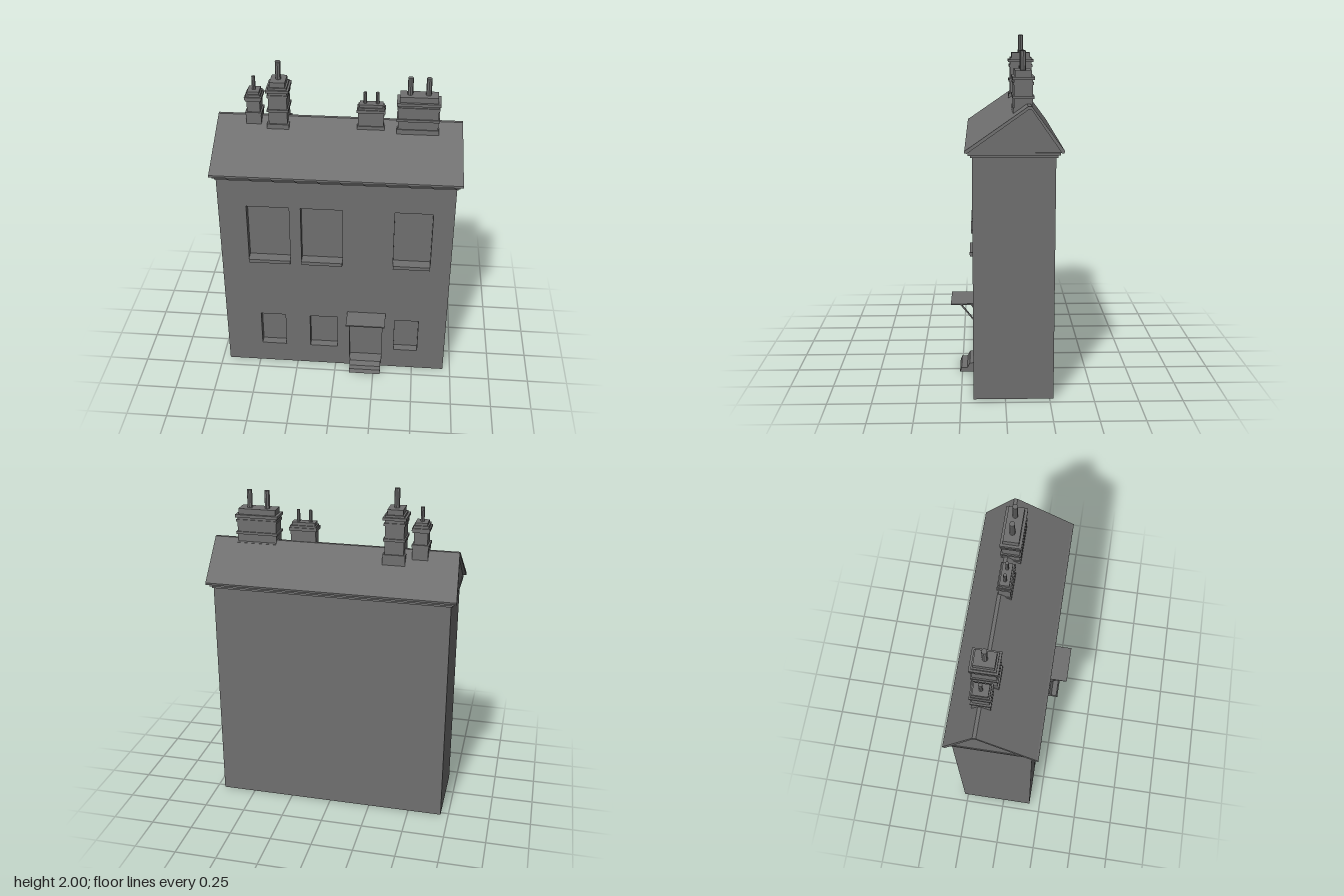
import * as THREE from 'three';

const grey = new THREE.MeshStandardMaterial({ color: 0x707070, flatShading: true });
const greySheet = new THREE.MeshStandardMaterial({ color: 0x707070, flatShading: true, side: THREE.DoubleSide });
const FRONT = 0.18, BACK = -0.272, HALF = 0.703, WALL_TOP = 1.4;

export function createModel() {
  const house = new THREE.Group();
  house.name = 'townHouse';

  const add = (name, geometry, material = grey, parent = house) => {
    const mesh = new THREE.Mesh(geometry, material);
    mesh.name = name;
    parent.add(mesh);
    return mesh;
  };
  // Box given by its limits on each axis
  const boxGeo = (x0, x1, y0, y1, z0, z1) =>
    new THREE.BoxGeometry(x1 - x0, y1 - y0, z1 - z0)
      .translate((x0 + x1) / 2, (y0 + y1) / 2, (z0 + z1) / 2);
  // Keep only some box sides: 0 +x, 1 -x, 2 +y, 3 -y, 4 +z, 5 -z
  const keepSides = (geometry, sides) => {
    const index = Array.from(geometry.index.array);
    geometry.setIndex(sides.flatMap(s => index.slice(s * 6, s * 6 + 6)));
    geometry.clearGroups();
    return geometry;
  };
  // Profile of [z, y] points swept along x
  const sweepX = (points, x0, x1) => {
    const shape = new THREE.Shape(points.map(([z, y]) => new THREE.Vector2(-z, y)));
    return new THREE.ExtrudeGeometry(shape, { depth: x1 - x0, bevelEnabled: false })
      .rotateY(Math.PI / 2).translate(x0, 0, 0);
  };

  // Openings in the front wall: x0, x1, y0, y1
  const upper = [[-0.534, -0.278], [-0.209, 0.042], [0.352, 0.578]].map(x => [...x, 0.822, 1.198]);
  const lower = [[-0.48, -0.322], [-0.164, 0.013], [0.377, 0.528]].map(x => [...x, 0.145, 0.388]);
  const door = [0.091, 0.298, 0.055, 0.433];
  const rect = (Type, x0, x1, y0, y1) => new Type([
    new THREE.Vector2(x0, y0), new THREE.Vector2(x1, y0),
    new THREE.Vector2(x1, y1), new THREE.Vector2(x0, y1)]);

  // Hollow walls, open underneath
  add('sideAndBackWalls', keepSides(boxGeo(-HALF, HALF, 0, WALL_TOP, BACK, FRONT), [0, 1, 5]), greySheet);
  const front = rect(THREE.Shape, -HALF, HALF, 0, WALL_TOP);
  const openings = [...upper, ...lower, door];
  front.holes = openings.map(o => rect(THREE.Path, ...o));
  add('frontWall', new THREE.ShapeGeometry(front).translate(0, 0, FRONT), greySheet);

  // Recesses with a flat back panel
  for (const o of openings) {
    add(o === door ? 'doorRecess' : 'windowRecess',
      keepSides(boxGeo(...o, FRONT - 0.05, FRONT), [0, 1, 2, 3, 5]), greySheet);
  }
  for (const [x0, x1] of upper) add('windowSill', boxGeo(x0, x1, 0.8, 0.823, FRONT - 0.05, 0.197));

  // Door steps with sloping risers
  add('doorSteps', sweepX([[FRONT, 0.055], [0.205, 0.055], [0.22, 0.025], [0.255, 0.025],
    [0.265, 0], [FRONT, 0]], 0.095, 0.295));

  // Canopy over the door and its two diagonal brackets
  add('canopy', boxGeo(0.075, 0.318, 0.43, 0.438, FRONT, 0.315));
  for (const x of [0.086, 0.307]) {
    add('canopyBracket', sweepX([[FRONT, 0.33], [FRONT, 0.342], [0.252, 0.433], [0.262, 0.433]], x - 0.006, x + 0.006));
  }

  // Stepped cornice under the eaves
  for (const [y0, y1, out, x] of [[1.379, 1.393, 0.011, 0.71], [1.393, 1.408, 0.024, 0.72]]) {
    add('cornice', boxGeo(-x, x, y0, y1, BACK - out, FRONT + out));
  }

  // Gable ends
  add('gables', sweepX([[0.205, 1.407], [-0.118, 1.641], [-0.138, 1.641], [-0.3, 1.407]], -0.715, 0.715));

  // Roof covering: thin folded slab, ends leaning in towards the ridge
  const roof = sweepX([[0.207, 1.407], [0.22, 1.409], [0.22, 1.422], [0.207, 1.429], [-0.119, 1.655],
    [-0.139, 1.655], [-0.315, 1.42], [-0.312, 1.407], [-0.3, 1.407], [-0.138, 1.637], [-0.12, 1.637]], -1, 1);
  const pos = roof.attributes.position;
  for (let i = 0; i < pos.count; i++) {
    pos.setX(i, pos.getX(i) * (0.737 - 0.055 * (pos.getY(i) - 1.407)));
  }
  roof.computeVertexNormals();
  add('roof', roof);

  // Chimney: layers are [bottom, top, inset from the widest outline]
  const chimney = (name, x, z, w, d, layers, potXs, potR, potTop) => {
    const group = new THREE.Group();
    group.name = name;
    group.position.set(x, 0, z);
    house.add(group);
    for (const [y0, y1, inset] of layers) {
      const hw = w / 2 - inset, hd = d / 2 - inset;
      add('chimneyCourse', boxGeo(-hw, hw, y0, y1, -hd, hd), grey, group);
    }
    const y0 = layers[layers.length - 1][1] - 0.005;
    for (const px of potXs) {
      add('chimneyPot', new THREE.CylinderGeometry(potR, potR, potTop - y0, 8), grey, group)
        .position.set(px, (y0 + potTop) / 2, 0);
    }
  };

  chimney('smallLeftChimney', -0.504, -0.122, 0.102, 0.118, [
    [1.56, 1.68, 0.006], [1.68, 1.695, 0.002], [1.695, 1.765, 0.012], [1.765, 1.775, 0.004],
    [1.775, 1.79, 0], [1.79, 1.805, 0.008], [1.805, 1.82, 0.016]], [0], 0.011, 1.902);
  chimney('tallLeftChimney', -0.358, -0.123, 0.134, 0.16, [
    [1.54, 1.633, 0.002], [1.633, 1.71, 0.012], [1.71, 1.725, 0.004], [1.725, 1.8, 0.012],
    [1.8, 1.815, 0.006], [1.815, 1.832, 0.012], [1.832, 1.848, 0], [1.848, 1.86, 0.012],
    [1.86, 1.89, 0.022]], [0], 0.016, 2);
  chimney('smallRightChimney', 0.187, -0.1, 0.166, 0.084, [
    [1.56, 1.635, 0.002], [1.635, 1.72, 0.008], [1.72, 1.738, 0], [1.738, 1.75, 0.006],
    [1.75, 1.768, 0.014]], [-0.037, 0.035], 0.01, 1.837);
  chimney('wideRightChimney', 0.462, -0.1, 0.254, 0.122, [
    [1.56, 1.632, 0.004], [1.632, 1.683, 0.01], [1.683, 1.698, 0.002], [1.698, 1.757, 0.01],
    [1.757, 1.77, 0.004], [1.77, 1.783, 0.01], [1.783, 1.8, 0], [1.8, 1.833, 0.016]],
    [-0.053, 0.053], 0.016, 1.937);

  return house;
}
